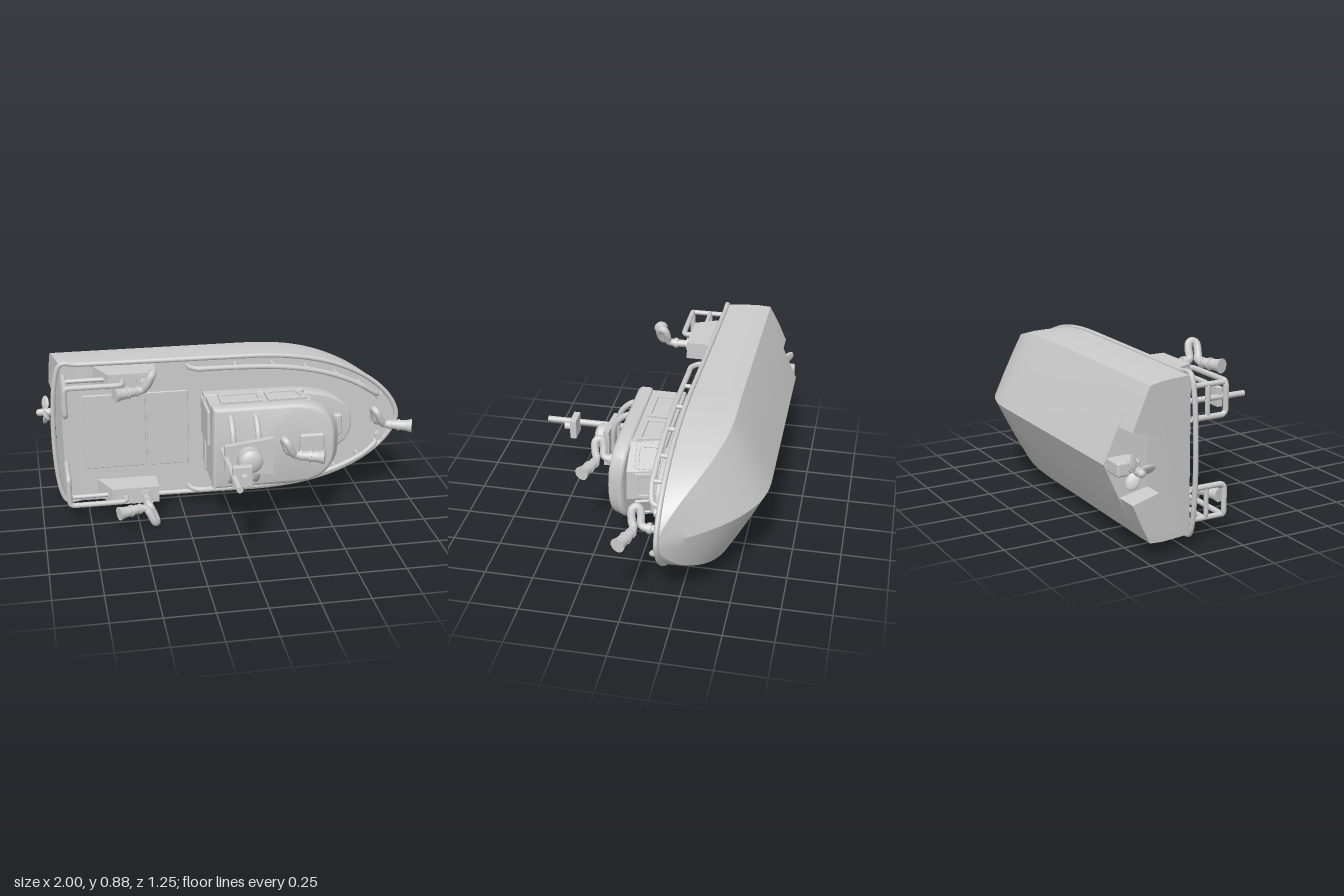
import * as THREE from 'three';
import { toCreasedNormals } from 'three/addons/utils/BufferGeometryUtils.js';
import { RoundedBoxGeometry } from 'three/addons/geometries/RoundedBoxGeometry.js';

// The boat is laid out with its bow to +x, beam along y and masthead to +z.
const mat = new THREE.MeshStandardMaterial({ color: 0xcccccc, side: THREE.DoubleSide });
const V = (x, y, z) => new THREE.Vector3(x, y, z);

function add(parent, name, geo, x = 0, y = 0, z = 0) {
  const m = new THREE.Mesh(geo, mat);
  m.name = name;
  m.position.set(x, y, z);
  parent.add(m);
  return m;
}
const box = (p, n, w, d, h, x, y, z, r = 0.008) => add(p, n, new RoundedBoxGeometry(w, d, h, 2, r), x, y, z);

function tube(p, name, pts, r, tension = 0.15) {
  const curve = new THREE.CatmullRomCurve3(pts.map(a => V(...a)), false, 'catmullrom', tension);
  return add(p, name, new THREE.TubeGeometry(curve, pts.length * 8, r, 10));
}
// Round part between two points
function rod(p, name, a, b, ra, rb = ra) {
  const A = V(...a), B = V(...b), d = B.clone().sub(A);
  const m = add(p, name, new THREE.CylinderGeometry(rb, ra, d.length(), 18));
  m.position.copy(A).add(B).multiplyScalar(0.5);
  m.quaternion.setFromUnitVectors(V(0, 1, 0), d.normalize());
  return m;
}
const polygon = pts => new THREE.Shape(pts.map(a => new THREE.Vector2(...a)));
const mirrored = half => [...half, ...half.slice().reverse().filter(a => a[1]).map(([x, y]) => [x, -y])];
const slab = (pts, depth, bevel = 0) => new THREE.ExtrudeGeometry(polygon(pts), {
  depth, bevelEnabled: bevel > 0, bevelSize: bevel, bevelThickness: bevel, bevelSegments: 3 });
function warp(geo, rule) {
  const p = geo.attributes.position, v = V(0, 0, 0);
  for (let i = 0; i < p.count; i++) {
    rule(v.fromBufferAttribute(p, i));
    p.setXYZ(i, v.x, v.y, v.z);
  }
  geo.computeVertexNormals();
  return geo;
}

// Hull lines
const halfBeam = x => x < 0.1 ? 0.385 : 0.385 * Math.pow(Math.max(0, 1 - Math.pow((x - 0.1) / 0.85, 2.4)), 0.6);
const sheer = x => -0.22 + 0.045 * (x + 0.87) / 1.82;
const keel = x => x < 0.3 ? -0.63 : -0.63 + 0.452 * Math.pow((x - 0.3) / 0.65, 2.2);
function section(x) {
  const h = halfBeam(x), s = sheer(x), d = keel(x) - s;
  const half = [[1, 0], [1, 0.2], [0.995, 0.4], [0.97, 0.57], [0.72, 0.69], [0.36, 0.85], [0, 1]];
  const right = half.map(([a, b]) => [a * h, s + b * d]);
  return [...right, ...right.slice(0, -1).reverse().map(([y, z]) => [-y, z])];
}
const STERN = -0.79, BOW = 0.95;

function buildHull(g) {
  const N = 48, pos = [], idx = [];
  let M;
  for (let i = 0; i <= N; i++) {
    const x = STERN + (BOW - STERN) * (1 - Math.pow(1 - i / N, 1.8));
    const ring = section(x);
    M = ring.length;
    ring.forEach(([y, z]) => pos.push(x, y, z));
  }
  for (let i = 0; i < N; i++) for (let j = 0; j < M; j++) {
    const a = i * M + j, c = i * M + (j + 1) % M;
    idx.push(a, a + M, c, a + M, c + M, c);
  }
  const geo = new THREE.BufferGeometry();
  geo.setAttribute('position', new THREE.Float32BufferAttribute(pos, 3));
  geo.setIndex(idx);
  add(g, 'hull', toCreasedNormals(geo, 0.38));

  // Raked stern block with the propeller tunnel cut out, and the bulkhead ahead of it
  const toX = new THREE.Matrix4().makeBasis(V(0, 1, 0), V(0, 0, 1), V(1, 0, 0));
  const ring = section(STERN), side = ring.slice(0, 5), zCut = -0.55;
  const half = [...side, [0.17, zCut], [0.14, -0.4]];
  const notched = [...half, ...half.slice().reverse().map(([y, z]) => [-y, z])];
  const stern = warp(slab(notched, 1).applyMatrix4(toX), v => {
    v.x = v.x > 0.5 ? STERN : -0.87 - 0.05 * Math.min(1, (-0.22 - v.z) / 0.3);
  });
  add(g, 'stern', toCreasedNormals(stern, 0.4));
  add(g, 'bulkhead', slab(ring, 0.01).applyMatrix4(toX), STERN - 0.005);

  // Rubbing strake round the deck edge
  const pts = [];
  for (let i = 0; i <= 40; i++) {
    const x = -0.87 + (BOW + 0.87) * (1 - Math.pow(1 - i / 40, 2));
    pts.push([x, halfBeam(x), sheer(x) + 0.004]);
  }
  const loop = [...pts, ...pts.slice(0, -1).reverse().map(([x, y, z]) => [x, -y, z])];
  const curve = new THREE.CatmullRomCurve3(loop.map(a => V(...a)), true);
  add(g, 'gunwale', new THREE.TubeGeometry(curve, 240, 0.013, 8, true));

  // Deck hatches
  box(g, 'aftHatch', 0.33, 0.42, 0.02, -0.595, 0, -0.213, 0.004);
  box(g, 'midHatch', 0.22, 0.42, 0.02, -0.31, 0, -0.208, 0.004);

  // Propeller and drive
  box(g, 'driveHousing', 0.11, 0.07, 0.12, -0.845, 0, -0.555, 0.012);
  rod(g, 'propellerHub', [-0.79, 0, -0.54], [-0.985, 0, -0.54], 0.026, 0.02);
  add(g, 'hubCap', new THREE.SphereGeometry(0.02, 14, 10), -0.98, 0, -0.54);
  for (let i = 0; i < 3; i++) {
    const a = i * Math.PI * 2 / 3 + Math.PI / 2;
    const b = add(g, 'propellerBlade', new THREE.SphereGeometry(1, 16, 10), -0.945, 0.05 * Math.cos(a), -0.54 + 0.05 * Math.sin(a));
    b.scale.set(0.01, 0.042, 0.032);
    b.rotation.set(a, 0.6, 0, 'XYZ');
  }
}

// Window: raised frame and pane on a wall facing angle a; tilt follows the raked front
function addWindow(p, x, y, z, a, w, h, tilt = 0, skew = 0) {
  const n = V(Math.cos(a), Math.sin(a), -tilt * Math.cos(a)).normalize();
  const up = V(0, 0, 1).addScaledVector(n, -n.z).normalize();
  const right = up.clone().cross(n);
  const quad = k => [[-w / 2 + k, -h / 2 + k], [w / 2 - k, -h / 2 + k],
    [w / 2 - k + Math.max(skew, 0), h / 2 - k], [-w / 2 + k + Math.min(skew, 0), h / 2 - k]];
  const shape = polygon(quad(0));
  shape.holes.push(new THREE.Path(quad(0.014).map(q => new THREE.Vector2(...q))));
  const win = new THREE.Group();
  win.name = 'window';
  add(win, 'windowFrame', new THREE.ExtrudeGeometry(shape, { depth: 0.01, bevelSize: 0.003, bevelThickness: 0.003, bevelSegments: 2 }));
  add(win, 'windowPane', slab(quad(0.012), 0.004));
  win.applyMatrix4(new THREE.Matrix4().makeBasis(right, up, n).setPosition(x, y, z));
  p.add(win);
}

// Straight sides with a rounded front end
function roundedPlan(x0, x1, x2, w, power = 2.4) {
  const half = [[x0, w]];
  for (let i = 0; i <= 14; i++) {
    const t = i / 14 * Math.PI / 2;
    half.push([x1 + (x2 - x1) * Math.pow(Math.sin(t), 2 / power), i === 14 ? 0 : w * Math.pow(Math.cos(t), 2 / power)]);
  }
  return mirrored(half).reverse();
}

function buildCabin(g) {
  add(g, 'trunk', toCreasedNormals(slab(roundedPlan(-0.11, 0.3, 0.67, 0.185), 0.09, 0.012), 0.6), 0, 0, -0.21);
  const walls = slab(mirrored([[-0.12, 0.21], [0.4, 0.21], [0.47, 0.08]]).reverse(), 0.19);
  add(g, 'cabinWalls', toCreasedNormals(warp(walls.translate(0, 0, -0.11), v => { if (v.x > 0.3) v.x += 0.25 * v.z; }), 0.3));
  box(g, 'cabinSill', 0.54, 0.432, 0.022, 0.14, 0, -0.105);
  const roof = warp(slab(roundedPlan(-0.1, 0.28, 0.53, 0.205, 3), 0.04, 0.02), v => {
    if (v.z > 0.03) v.x -= 0.05 * Math.max(0, v.x);
    v.z += 0.018 - 0.5 * v.y * v.y;
  });
  add(g, 'roof', toCreasedNormals(roof, 0.7), 0, 0, 0.082);
  for (const s of [1, -1]) {
    addWindow(g, 0.05, s * 0.21, -0.028, s * Math.PI / 2, 0.215, 0.12);
    addWindow(g, 0.275, s * 0.21, -0.028, s * Math.PI / 2, 0.17, 0.12, 0, -s * 0.035);
    addWindow(g, 0.428, s * 0.145, -0.028, s * 0.478, 0.125, 0.12, 0.25);
  }
  addWindow(g, 0.463, 0, -0.028, 0, 0.14, 0.12, 0.25);
  box(g, 'door', 0.02, 0.2, 0.23, -0.125, 0.08, -0.07);
  box(g, 'roofHatch', 0.13, 0.12, 0.03, 0.4, 0, 0.145, 0.012);
  box(g, 'foreHatch', 0.11, 0.12, 0.04, 0.565, 0, -0.095, 0.012);

  // Arches, platform, lamp and mast
  for (const x of [-0.03, 0.1])
    tube(g, 'arch', [[x, -0.185, 0.1], [x, -0.17, 0.16], [x, -0.11, 0.215], [x, 0, 0.235], [x, 0.11, 0.215], [x, 0.17, 0.16], [x, 0.185, 0.1]], 0.015, 0.5);
  add(g, 'platform', slab([[-0.08, -0.07], [0.17, -0.1], [0.17, 0.1], [-0.08, 0.07]], 0.03), 0, 0, 0.235);
  rod(g, 'lampBase', [0.045, 0, 0.265], [0.045, 0, 0.31], 0.066);
  const dome = add(g, 'lampDome', new THREE.SphereGeometry(0.063, 24, 12), 0.045, 0, 0.308);
  dome.scale.z = 0.5;
  rod(g, 'mast', [-0.07, 0, 0.1], [-0.07, 0, 0.625], 0.016);
  box(g, 'mastBracket', 0.1, 0.11, 0.035, -0.03, 0, 0.467, 0.004);
  rod(g, 'mastLight', [-0.02, 0, 0.48], [-0.02, 0, 0.52], 0.02);
}

// Water cannon: d is the pointing direction along x, s the side of the pipe loop
function addCannon(p, x, y, z, d, s) {
  const c = new THREE.Group();
  c.name = 'waterCannon';
  c.position.set(x, y, z);
  tube(c, 'cannonPipe', [[0, 0, -0.01], [0, 0, 0.08], [-0.008 * d, 0.012 * s, 0.112], [-0.025 * d, 0.05 * s, 0.116], [-0.035 * d, 0.08 * s, 0.124],
    [-0.035 * d, 0.09 * s, 0.143], [-0.022 * d, 0.075 * s, 0.16], [0, 0.03 * s, 0.155], [0.018 * d, 0.006 * s, 0.144], [0.05 * d, 0, 0.147]], 0.02, 0.5);
  rod(c, 'cannonFoot', [0, 0, -0.01], [0, 0, 0.012], 0.034);
  rod(c, 'cannonFlange', [0, 0, 0.06], [0, 0, 0.08], 0.027);
  const at = t => [d * (0.04 + 0.125 * t), 0, 0.143 + 0.045 * t];
  rod(c, 'nozzle', at(0), at(0.8), 0.021, 0.03);
  for (const [a, b, r] of [[0.05, 0.16, 0.027], [0.42, 0.52, 0.031]]) rod(c, 'nozzleRing', at(a), at(b), r);
  rod(c, 'nozzleTip', at(0.75), at(1), 0.029, 0.037);
  p.add(c);
}

function buildDeckGear(g) {
  addCannon(g, 0.26, 0, 0.13, 1, 1);
  addCannon(g, 0.82, 0, -0.185, 1, 1);
  for (const s of [1, -1]) {
    // Locker with a sloping aft end
    const locker = slab([[-0.7, -0.22], [-0.38, -0.22], [-0.38, -0.07], [-0.63, -0.07]], 0.09);
    add(g, 'locker', locker.rotateX(Math.PI / 2).scale(1, -1, 1).applyMatrix4(new THREE.Matrix4().makeScale(1, -1, 1)), 0, s * 0.325 + 0.045, 0);
    addCannon(g, -0.45, s * 0.33, -0.07, -1, s);
    // Stern rails
    tube(g, 'sternRail', [[-0.86, 0.17 * s, -0.21], [-0.86, 0.17 * s, -0.04], [-0.86, 0.19 * s, -0.02], [-0.86, 0.31 * s, -0.02],
      [-0.84, 0.33 * s, -0.02], [-0.58, 0.33 * s, -0.02], [-0.56, 0.33 * s, -0.04], [-0.56, 0.33 * s, -0.08]], 0.014);
    tube(g, 'sternLowerRail', [[-0.86, 0.17 * s, -0.12], [-0.86, 0.31 * s, -0.12], [-0.84, 0.33 * s, -0.12], [-0.65, 0.33 * s, -0.12]], 0.012);
    rod(g, 'sternPost', [-0.855, 0.325 * s, -0.21], [-0.855, 0.325 * s, -0.02], 0.013);
    // Side rail following the deck edge
    const inset = x => s * (halfBeam(x) - 0.035 - 0.02 * Math.max(0, x));
    const pts = [[-0.2, inset(-0.2), -0.21], [-0.19, inset(-0.19), -0.165]];
    for (let x = -0.15; x < 0.8; x += 0.06) pts.push([x, inset(x), sheer(x) + 0.068]);
    pts.push([0.82, inset(0.82), -0.13], [0.835, inset(0.835), -0.19]);
    tube(g, 'sideRail', pts, 0.014, 0.4);
    for (const x of [0.05, 0.25, 0.43, 0.6, 0.73])
      rod(g, 'railPost', [x, inset(x), sheer(x) - 0.01], [x, inset(x), sheer(x) + 0.068], 0.011);
    rod(g, 'bollard', [0.85, 0.115 * s, -0.19], [0.85, 0.115 * s, -0.145], 0.022);
  }
}

export function createModel() {
  const root = new THREE.Group();
  root.name = 'boat';
  const body = new THREE.Group();
  body.name = 'boatBody';
  body.position.y = 0.44;
  buildHull(body);
  buildCabin(body);
  buildDeckGear(body);
  root.add(body);
  return root;
}
